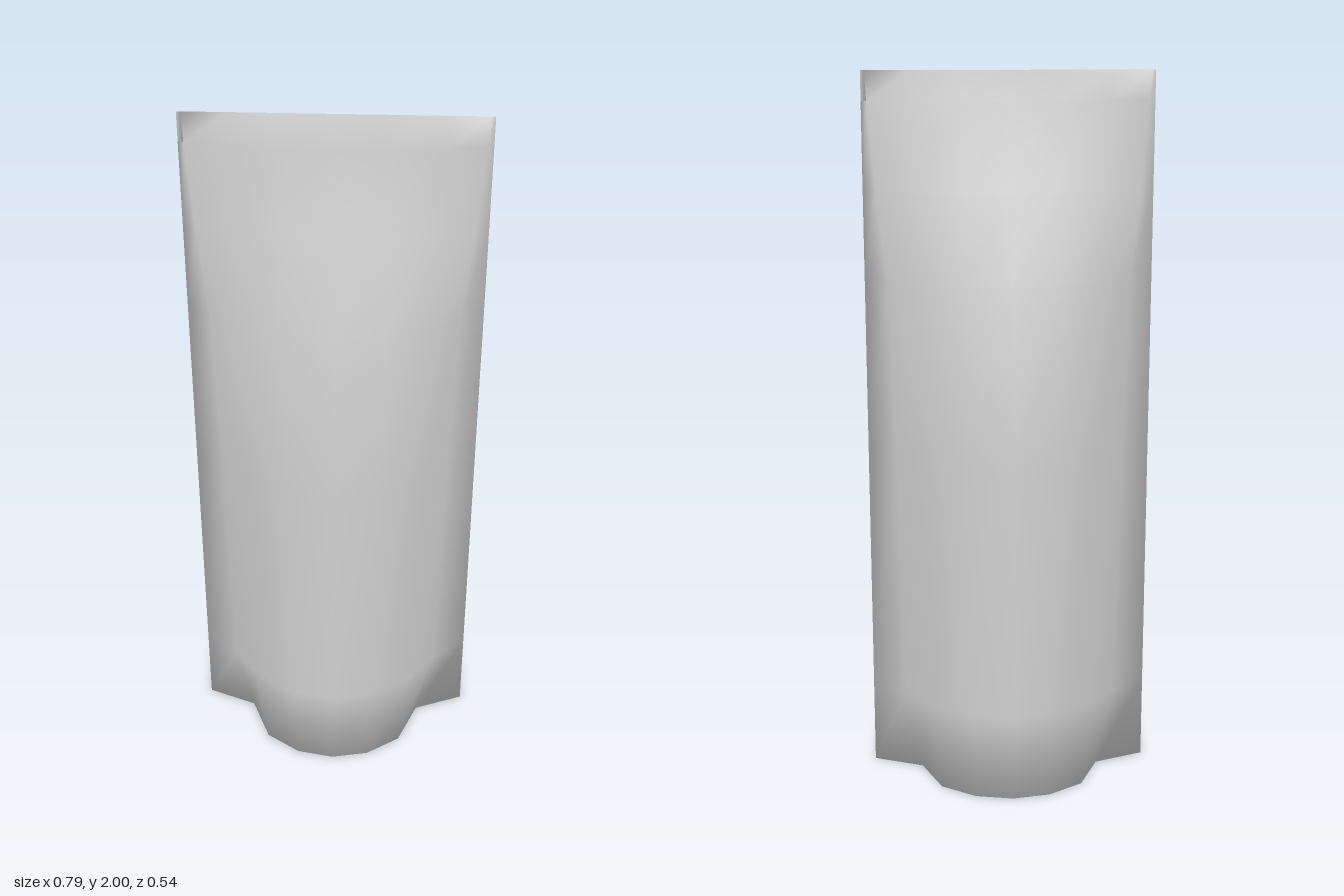
import * as THREE from 'three';
import { mergeVertices } from 'three/addons/utils/BufferGeometryUtils.js';

// Each section: height, then [x, z] from the middle of the face to just before the side seam
const TIP = 0.395;
const SECTIONS = [
  [0, [[0, 0.271], [0.105, 0.251], [0.2, 0.188], [0.255, 0.055]]],
  [0.24, [[0, 0.258], [0.11, 0.24], [0.235, 0.157], [0.3, 0.08]]],
  [0.97, [[0, 0.222], [0.125, 0.206], [0.245, 0.13], [0.315, 0.06]]],
  [1.44, [[0, 0.16], [0.135, 0.147], [0.25, 0.111], [0.33, 0.05]]],
  [1.68, [[0, 0.064], [0.13, 0.061], [0.26, 0.047], [0.36, 0.014]]],
  [1.92, [[0, 0.035], [0.13, 0.033], [0.27, 0.025], [0.38, 0.005]]],
  [2, [[0, 0], [0.13, 0], [0.27, 0], [0.385, 0]]],
];

// Mirror a quarter section into a closed loop: left seam, front, right seam, back
function loop(y, quarter) {
  const left = [...quarter].reverse();
  const right = quarter.slice(1).map(([x, z]) => [-x, z]);
  const front = [...left, ...right];
  const back = [...front].reverse().map(([x, z]) => [x, -z]);
  return [[TIP, 0], ...front, [-TIP, 0], ...back].map(([x, z]) => [x, y, z]);
}

function pouchGeometry() {
  const loops = SECTIONS.map(([y, quarter]) => loop(y, quarter));
  const n = loops[0].length;
  const positions = loops.flat(2);
  const index = [];
  // Walls
  for (let i = 0; i < loops.length - 1; i++) {
    for (let j = 0; j < n; j++) {
      const a = i * n + j, b = i * n + (j + 1) % n;
      index.push(a, a + n, b, b, a + n, b + n);
    }
  }
  // Flat floor, sharing the rim so the shading rolls under
  const centre = positions.length / 3;
  positions.push(0, 0, 0);
  for (let j = 0; j < n; j++) index.push(centre, j, (j + 1) % n);

  const raw = new THREE.BufferGeometry();
  raw.setAttribute('position', new THREE.Float32BufferAttribute(positions, 3));
  raw.setIndex(index);
  // Weld the pinched top edge so the shading runs smoothly over it
  const geometry = mergeVertices(raw, 1e-4);
  geometry.computeVertexNormals();
  return geometry;
}

export function createModel() {
  const group = new THREE.Group();
  group.name = 'pouch';
  const body = new THREE.Mesh(pouchGeometry(), new THREE.MeshStandardMaterial({ color: 0xcccccc }));
  body.name = 'pouchBody';
  group.add(body);
  return group;
}
